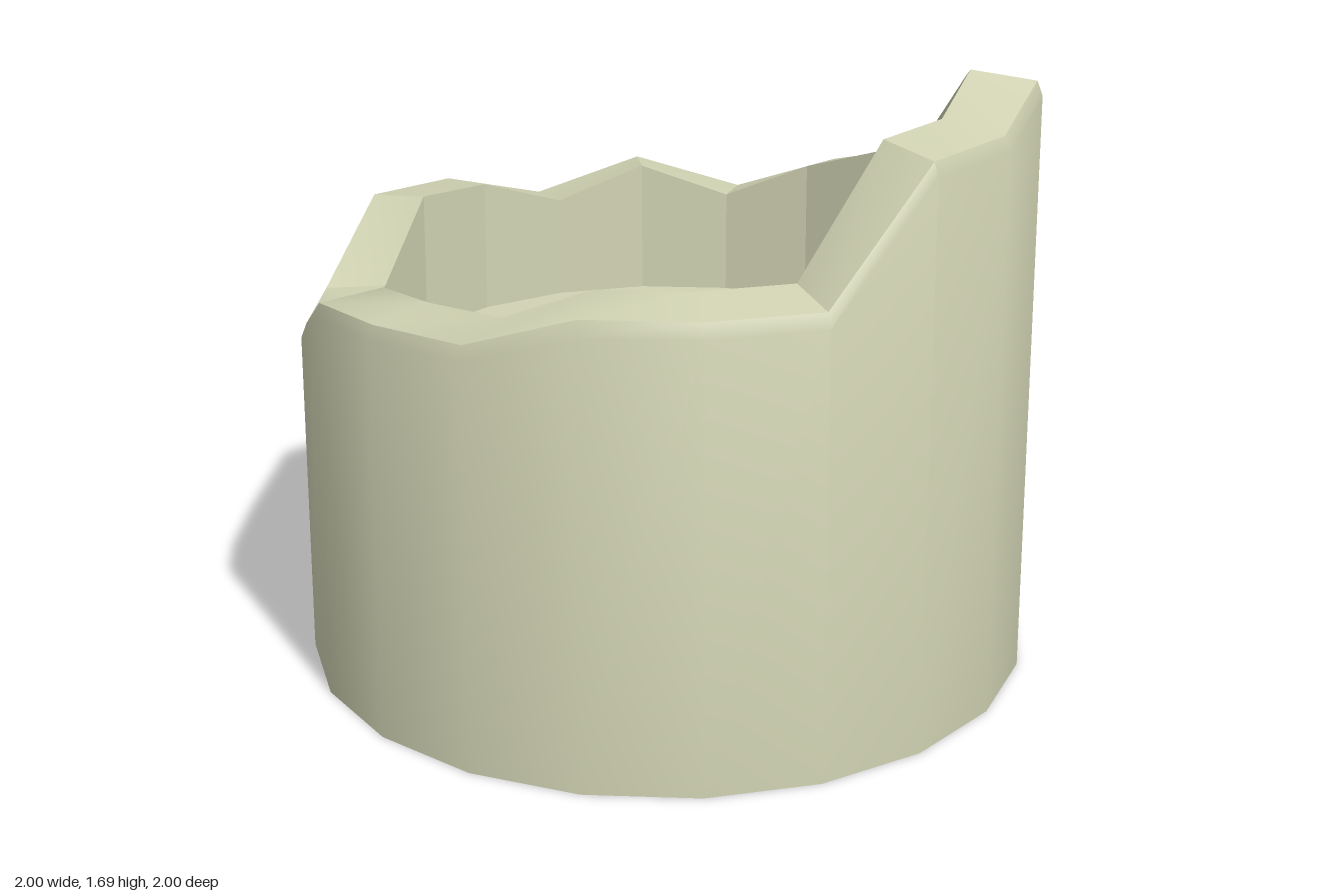
import * as THREE from 'three';
import { toCreasedNormals } from 'three/addons/utils/BufferGeometryUtils.js';

const SIDES = 20;
const INNER = 0.81;
const FLOOR = 0.77;

// Height of the broken rim at each corner, from the front (+z) round through +x
const rim = [1.60, 1.60, 1.67, 1.59, 1.38, 1.25, 1.16, 1.045, 1.13, 1.04,
  1.13, 1.15, 0.96, 0.96, 1.12, 1.15, 1.165, 1.27, 1.27, 1.27];

// Joins successive rings; each ring is [radius, height of corner k]
function ringSurface(rings, crease) {
  const pos = [], index = [];
  for (const [r, height] of rings) {
    for (let k = 0; k < SIDES; k++) {
      const a = k * 2 * Math.PI / SIDES;
      pos.push(r * Math.sin(a), height(k), r * Math.cos(a));
    }
  }
  for (let i = 0; i < rings.length - 1; i++) {
    for (let k = 0; k < SIDES; k++) {
      const n = (k + 1) % SIDES;
      const a = i * SIDES + k, b = i * SIDES + n;
      index.push(a, b, b + SIDES, a, b + SIDES, a + SIDES);
    }
  }
  const g = new THREE.BufferGeometry();
  g.setAttribute('position', new THREE.Float32BufferAttribute(pos, 3));
  g.setIndex(index);
  return toCreasedNormals(g, crease);
}

export function createModel() {
  const group = new THREE.Group();
  group.name = 'brokenRoundTower';
  const stone = new THREE.MeshStandardMaterial({ color: 0xd2d4b4 });
  const add = (name, geometry) => {
    const mesh = new THREE.Mesh(geometry, stone);
    mesh.name = name;
    group.add(mesh);
    return mesh;
  };

  // Smooth outer wall with a softened edge and a jagged top
  add('outerWallAndRim', ringSurface([
    [1, () => 0],
    [1, k => rim[k] - 0.04],
    [0.985, k => rim[k]],
    [INNER, k => rim[k] + 0.02],
  ], 0.5));

  // Faceted inner wall
  add('innerWall', ringSurface([
    [INNER, k => rim[k] + 0.02],
    [INNER, () => FLOOR],
  ], 0.2));

  // Raised floor inside and the closed underside
  const floor = add('floor', new THREE.CircleGeometry(INNER, SIDES));
  floor.rotation.x = -Math.PI / 2;
  floor.position.y = FLOOR;
  const base = add('underside', new THREE.CircleGeometry(1, SIDES));
  base.rotation.x = Math.PI / 2;

  return group;
}
